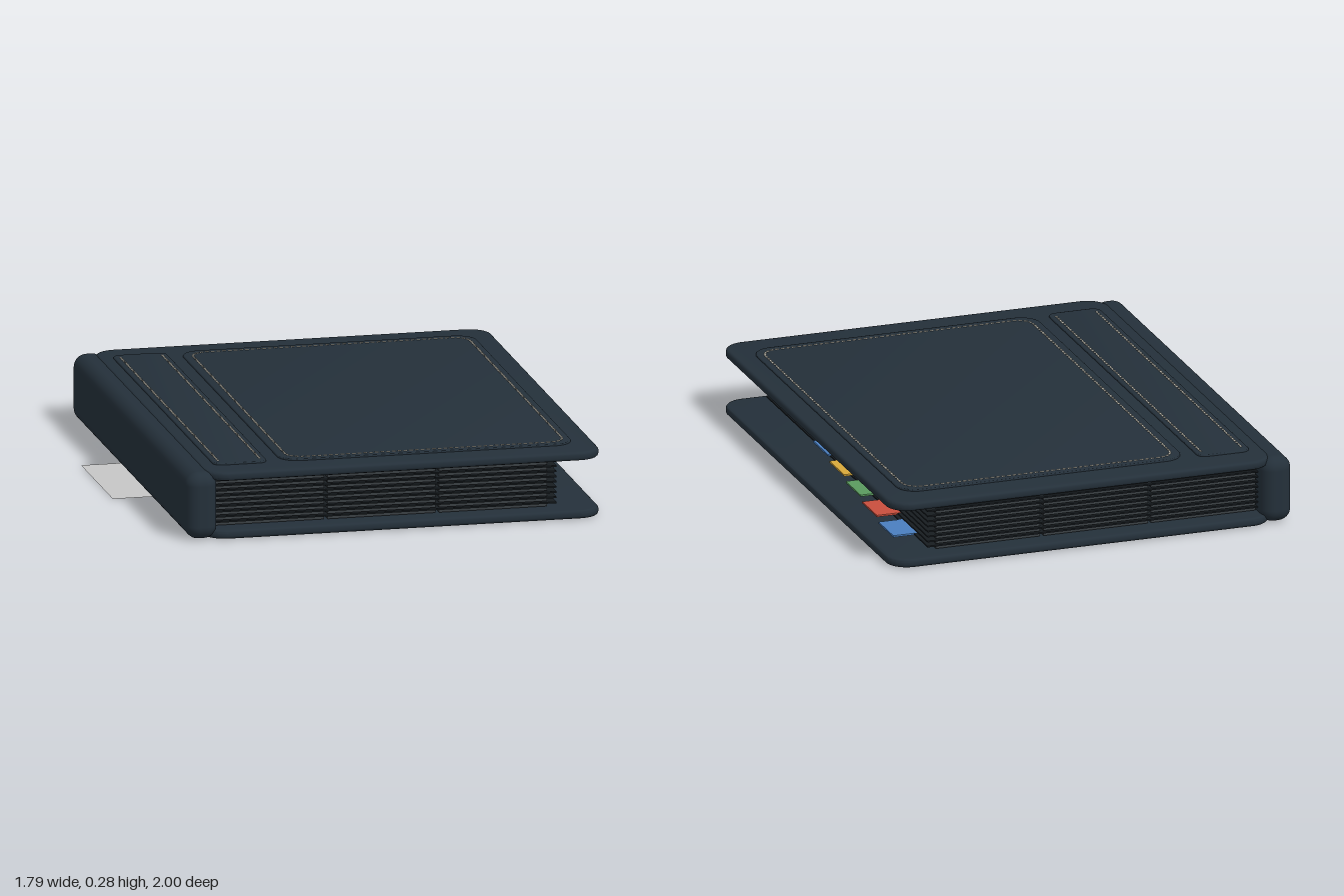
import * as THREE from 'three';
import { mergeGeometries, toCreasedNormals } from 'three/addons/utils/BufferGeometryUtils.js';
import { RoundedBoxGeometry } from 'three/addons/geometries/RoundedBoxGeometry.js';

const flat = (name, color, side = THREE.FrontSide) => {
  const m = new THREE.MeshStandardMaterial({ color, side });
  m.name = name;
  return m;
};

// Rounded rectangle centred on (cx, cy)
function roundedRect(cx, cy, w, h, r) {
  const s = new THREE.Shape(), x = w / 2 - r, y = h / 2 - r;
  s.absarc(cx + x, cy + y, r, 0, Math.PI / 2);
  s.absarc(cx - x, cy + y, r, Math.PI / 2, Math.PI);
  s.absarc(cx - x, cy - y, r, Math.PI, Math.PI * 1.5);
  s.absarc(cx + x, cy - y, r, Math.PI * 1.5, Math.PI * 2);
  s.closePath();
  return s;
}

// Flat slab lying on y0, with rounded corners and a soft edge
function slab(x0, x1, depth, y0, y1, r, bevel) {
  const shape = roundedRect((x0 + x1) / 2, 0, x1 - x0 - 2 * bevel, depth - 2 * bevel, r - bevel);
  const g = new THREE.ExtrudeGeometry(shape, {
    depth: y1 - y0 - 2 * bevel, bevelEnabled: true, bevelSize: bevel,
    bevelThickness: bevel, bevelSegments: 3, curveSegments: 8,
  });
  g.rotateX(-Math.PI / 2).translate(0, y0 + bevel, 0);
  return toCreasedNormals(g, 0.7);
}

const block = (w, h, d, x, y, z) => new THREE.BoxGeometry(w, h, d).translate(x, y, z);

// Row of short dashes following a list of [x, z] points
function stitches(points, y) {
  const dashes = [];
  for (let i = 0; i < points.length - 1; i++) {
    const [ax, az] = points[i], [bx, bz] = points[i + 1];
    const g = new THREE.BoxGeometry(0.014, 0.003, 0.008);
    g.rotateY(-Math.atan2(bz - az, bx - ax));
    dashes.push(g.translate((ax + bx) / 2, y, (az + bz) / 2));
  }
  return mergeGeometries(dashes);
}

export function createModel() {
  const group = new THREE.Group();
  const cover = flat('navy cover', 0x24303a);
  const sheet = flat('black sheet', 0x171c20);
  const pocket = flat('smoky pocket', 0x3a4044);
  const thread = flat('cream thread', 0xd8d4c6);
  const label = flat('pale label', 0xc6c6c6, THREE.DoubleSide);
  const tabColours = [
    flat('blue tab', 0x4a7fc0), flat('yellow tab', 0xd9a93a),
    flat('green tab', 0x5a9a5f), flat('red tab', 0xc94f3d),
  ];
  const add = (name, geometry, material) => {
    const mesh = new THREE.Mesh(geometry, material);
    mesh.name = name;
    group.add(mesh);
  };

  // Covers and spine
  add('bottomCover', slab(-0.69, 0.895, 2, 0.001, 0.035, 0.09, 0.012), cover);
  add('topCover', slab(-0.69, 0.895, 2, 0.235, 0.27, 0.09, 0.012), cover);
  add('spine', new RoundedBoxGeometry(0.125, 0.268, 2, 5, 0.052).translate(-0.7075, 0.135, 0), cover);

  // Raised panels on the top cover
  add('spineStrip', slab(-0.635, -0.42, 1.76, 0.265, 0.277, 0.035, 0.004), cover);
  add('frontPanel', slab(-0.365, 0.81, 1.76, 0.265, 0.277, 0.08, 0.004), cover);

  // Stitching
  const loop = roundedRect(0.225, 0, 1.11, 1.69, 0.06).getSpacedPoints(240).map((p) => [p.x, p.y]);
  add('panelStitching', stitches(loop, 0.2775), thread);
  for (const x of [-0.61, -0.443]) {
    const line = Array.from({ length: 74 }, (_, i) => [x, -0.84 + (1.68 * i) / 73]);
    add('stripStitching', stitches(line, 0.2775), thread);
  }

  // Nine sheets, each with a 3 x 3 grid of pockets and one staggered tab
  const sheets = [], pockets = [];
  for (let i = 0; i < 9; i++) {
    const y = 0.222 - i * 0.0209;
    sheets.push(block(1.37, 0.006, 1.86, 0.04, y, 0));
    for (let c = -1; c <= 1; c++) {
      for (let r = -1; r <= 1; r++) {
        pockets.push(block(0.433, 0.011, 0.606, 0.025 + c * 0.4467, y - 0.0088, r * 0.62));
      }
    }
    add('indexTab', block(0.11, 0.007, 0.17, 0.755, y, 0.825 - i * 0.189), tabColours[i % 4]);
  }
  add('sheets', mergeGeometries(sheets), sheet);
  add('pockets', mergeGeometries(pockets), pocket);

  // Label card lying under the spine
  add('labelCard', new THREE.ShapeGeometry(roundedRect(-0.73, 0, 0.34, 0.545, 0.012))
    .rotateX(-Math.PI / 2), label);

  return group;
}
